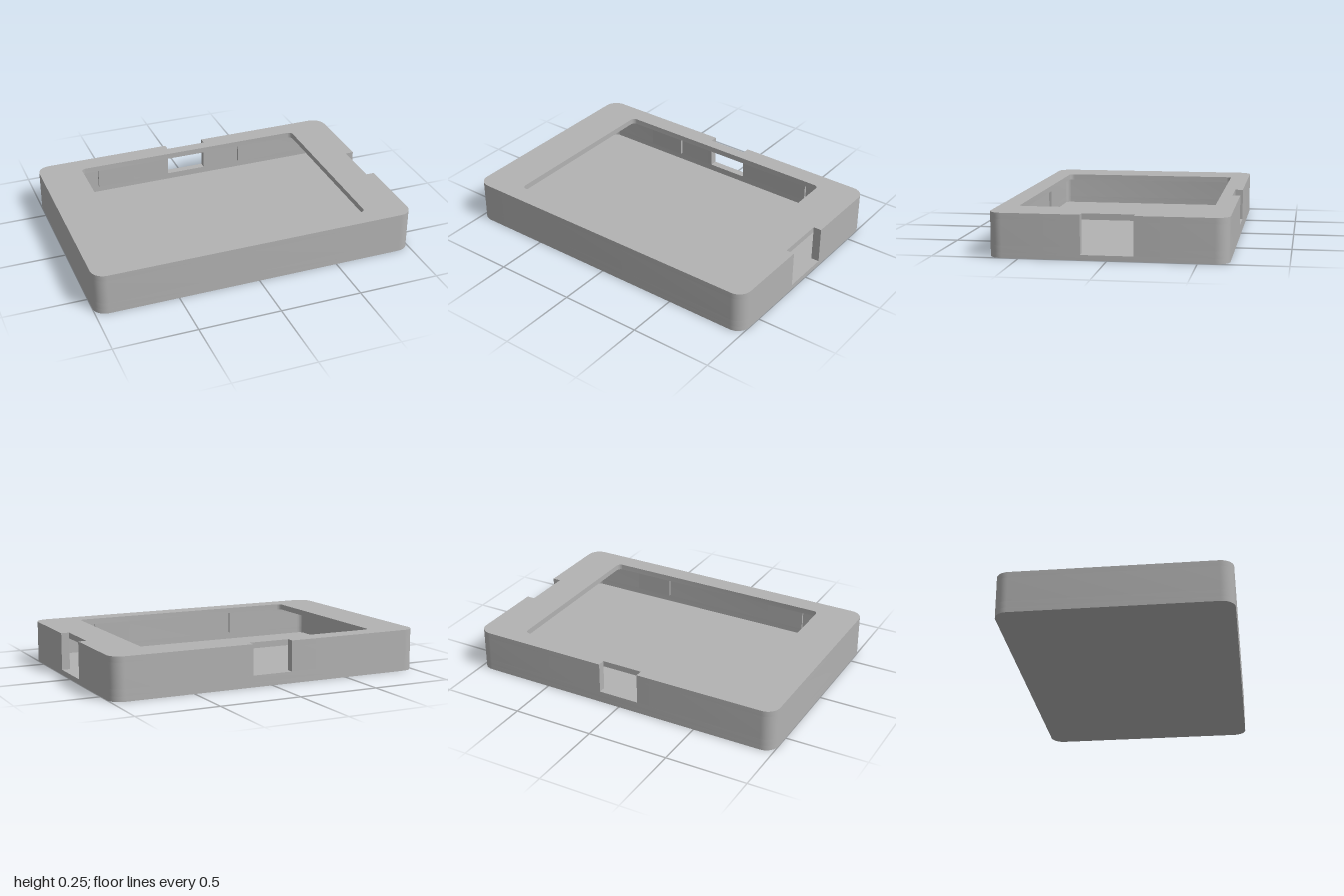
import * as THREE from 'three';
import { toCreasedNormals } from 'three/addons/utils/BufferGeometryUtils.js';

const W = 1, D = 0.675, R = 0.08;           // outer half width, half depth, corner radius
const IW = 0.95, ID = 0.628, IR = 0.035;    // cavity half width, half depth, corner radius
const FLOOR = 0.03, SILL = 0.07, LID = 0.22, TOP = 0.255;
const SIDE = 0.15, BACK = 0.127;            // half widths of the side and back ports

// Closed polygon of [x, back, radius] corners, each rounded by its radius
function outline(points, path = new THREE.Shape()) {
  const n = points.length;
  points.forEach(([x, y, r = 0], i) => {
    const toward = ([px, py], d) => {
      const l = Math.hypot(px - x, py - y);
      return [x + (px - x) / l * d, y + (py - y) / l * d];
    };
    const prev = points[(i + n - 1) % n], next = points[(i + 1) % n];
    const a = toward(prev, r), b = toward(next, r);
    if (i === 0) path.moveTo(...a); else path.lineTo(...a);
    if (r > 0) path.bezierCurveTo(...toward(prev, r * 0.448), ...toward(next, r * 0.448), ...b);
  });
  path.closePath();
  return path;
}

const rect = (w, d, r) => [[w, -d, r], [w, d, r], [-w, d, r], [-w, -d, r]];

export function createModel() {
  const model = new THREE.Group();
  const grey = new THREE.MeshStandardMaterial({ color: 0xb2b2b2 });
  grey.name = 'grey plastic';

  // Horizontal slab of a shape between two heights
  function slab(name, shape, y0, y1) {
    const geo = new THREE.ExtrudeGeometry(shape, { depth: y1 - y0, bevelEnabled: false, curveSegments: 10 });
    geo.rotateX(-Math.PI / 2);
    const mesh = new THREE.Mesh(toCreasedNormals(geo, 0.5), grey);
    mesh.position.y = y0;
    mesh.name = name;
    model.add(mesh);
  }

  // Floor plate
  slab('floor', outline(rect(W, D, R)), 0, FLOOR);

  // Lower wall, open only at the side port
  slab('lowerWall', outline([
    [W, SIDE], [W, D, R], [-W, D, R], [-W, -D, R], [W, -D, R], [W, -SIDE],
    [IW, -SIDE], [IW, -ID, IR], [-IW, -ID, IR], [-IW, ID, IR], [IW, ID, IR], [IW, SIDE],
  ]), FLOOR, SILL);

  // Upper wall in two runs, open at both ports
  slab('upperWallCorner', outline([
    [W, SIDE], [W, D, R], [BACK, D], [BACK, ID], [IW, ID, IR], [IW, SIDE],
  ]), SILL, LID);
  slab('upperWallLong', outline([
    [-BACK, D], [-W, D, R], [-W, -D, R], [W, -D, R], [W, -SIDE],
    [IW, -SIDE], [IW, -ID, IR], [-IW, -ID, IR], [-IW, ID, IR], [-BACK, ID],
  ]), SILL, LID);

  // Top frame with window and port notches
  const frame = outline([
    [W, -D, R], [W, -SIDE], [IW, -SIDE], [IW, SIDE], [W, SIDE], [W, D, R],
    [BACK, D], [BACK, ID], [-BACK, ID], [-BACK, D], [-W, D, R], [-W, -D, R],
  ]);
  frame.holes.push(outline(rect(0.735, 0.558, 0.03), new THREE.Path()));
  slab('topFrame', frame, LID, TOP);

  // Raised pads on the inner faces of the front and back walls
  for (const sx of [-1, 1]) for (const sz of [-1, 1]) {
    const pad = new THREE.Mesh(new THREE.BoxGeometry(0.24, LID - 0.075, 0.02), grey);
    pad.position.set(sx * 0.49, (LID + 0.075) / 2, sz * (ID - 0.006));
    pad.name = 'wallPad';
    model.add(pad);
  }
  return model;
}
